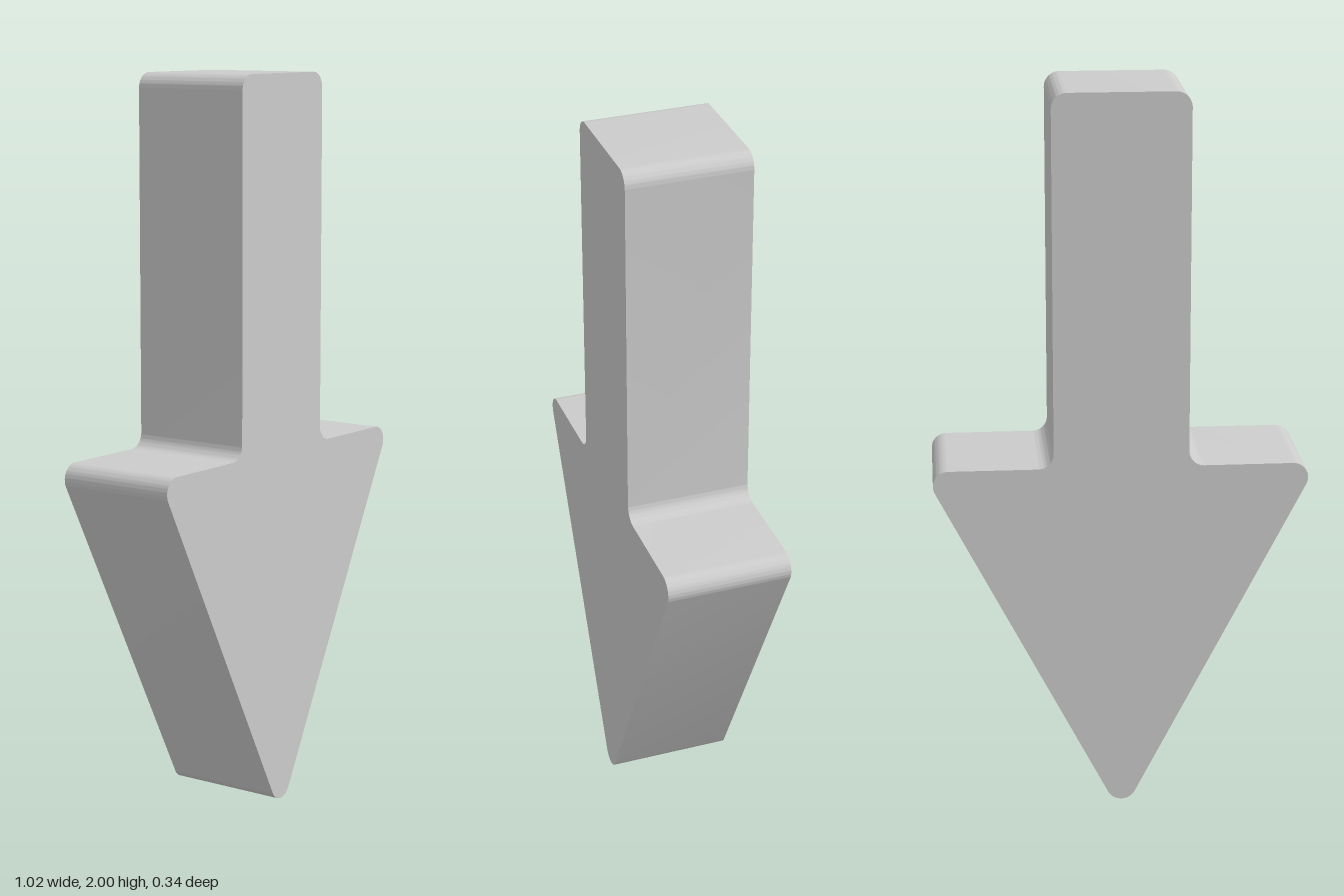
import * as THREE from 'three';
import { toCreasedNormals } from 'three/addons/utils/BufferGeometryUtils.js';

const R = 0.042;        // corner rounding
const DEPTH = 0.342;
const STEM = 0.183;     // half width of the shaft
const SHOULDER = 0.985; // top of the arrow head
const HEAD = 0.508;     // half width of the head
const HEIGHT = 2;

// Outline drawn counter-clockwise; each corner is an arc tangent to its edges
function arrowOutline() {
  const wingX = HEAD - R, wingY = SHOULDER - R;
  const slant = Math.atan2(wingX, wingY - R);
  const { PI } = Math;
  const s = new THREE.Shape();
  s.absarc(0, R, R, -PI + slant, -slant, false);                     // tip
  s.absarc(wingX, wingY, R, -slant, PI / 2, false);                  // left wing
  s.absarc(STEM + R, SHOULDER + R, R, -PI / 2, -PI, true);           // inner corner
  s.absarc(STEM - R, HEIGHT - R, R, 0, PI / 2, false);               // shaft top
  s.absarc(-STEM + R, HEIGHT - R, R, PI / 2, PI, false);
  s.absarc(-STEM - R, SHOULDER + R, R, 0, -PI / 2, true);            // inner corner
  s.absarc(-wingX, wingY, R, PI / 2, PI + slant, false);             // right wing
  s.closePath();
  return s;
}

export function createModel() {
  const group = new THREE.Group();
  group.name = 'downArrow';

  // Flat faces with smoothly rounded outline corners
  const geometry = new THREE.ExtrudeGeometry(arrowOutline(), {
    depth: DEPTH, bevelEnabled: false, curveSegments: 12,
  });
  geometry.translate(0, 0, -DEPTH / 2);

  const arrow = new THREE.Mesh(
    toCreasedNormals(geometry, 0.5),
    new THREE.MeshStandardMaterial({ color: 0xcccccc }),
  );
  arrow.name = 'arrowBody';
  group.add(arrow);
  return group;
}
